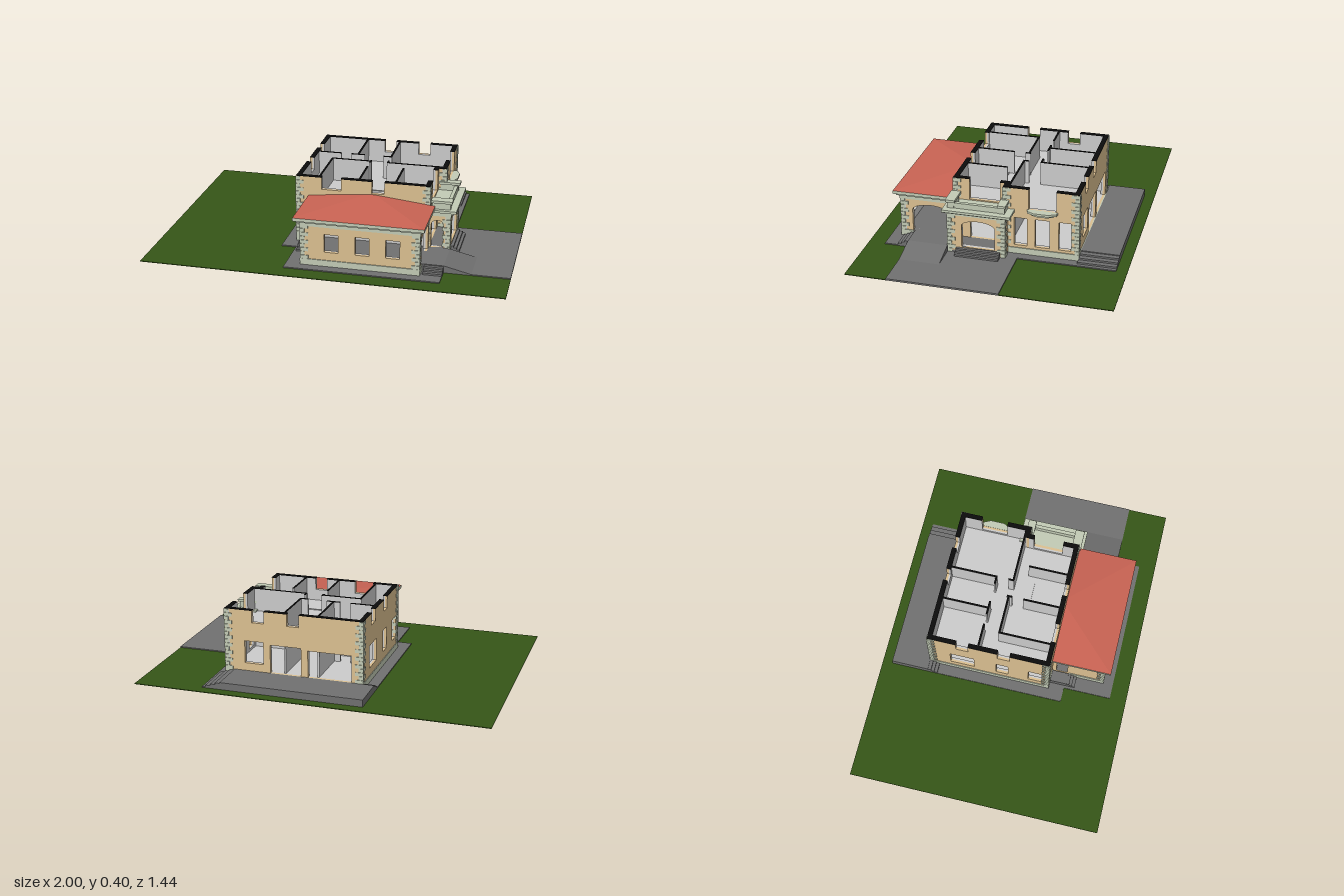
import * as THREE from 'three';

const mat = (color) => new THREE.MeshStandardMaterial({ color, side: THREE.DoubleSide });

export function createModel() {
  const model = new THREE.Group();
  const grass = mat(0x365617), paving = mat(0x707070), tan = mat(0xdcc091), stone = mat(0xc2cbb5);
  const roofRed = mat(0xc96353), black = mat(0x0c0c0c), grey = mat(0xdddddd);

  const add = (name, geo, material, parent = model) => {
    const m = new THREE.Mesh(geo, material);
    m.name = name;
    parent.add(m);
    return m;
  };
  // Box given by its extents
  const box = (name, material, x0, x1, y0, y1, z0, z1) => {
    const m = add(name, new THREE.BoxGeometry(x1 - x0, y1 - y0, z1 - z0), material);
    m.position.set((x0 + x1) / 2, (y0 + y1) / 2, (z0 + z1) / 2);
    return m;
  };
  // Horizontal slab from an x,z outline
  const shapeOf = (pts) => new THREE.Shape(pts.map(([x, z]) => new THREE.Vector2(x, z)));
  const slab = (name, material, shape, y0, y1) => {
    const g = new THREE.ExtrudeGeometry(shape, { depth: y1 - y0, bevelEnabled: false });
    g.rotateX(Math.PI / 2).translate(0, y1, 0);
    return add(name, g, material);
  };

  // Wall facing one side. Openings are [a, b, bottom, top, archRise] in world x or z;
  // an opening reaching the wall top becomes a notch.
  const sides = { front: [0, 1], right: [Math.PI / 2, -1], back: [Math.PI, -1], left: [-Math.PI / 2, 1] };
  const wall = (name, side, off, a, b, y0, y1, openings = [], blackTop = true) => {
    const [turn, sign] = sides[side];
    const span = (p, q) => [Math.min(p * sign, q * sign), Math.max(p * sign, q * sign)];
    const [u0, u1] = span(a, b);
    const list = openings.map(([p, q, lo, hi, rise = 0]) => [...span(p, q), lo, hi, rise]);
    const notches = list.filter((o) => o[3] >= y1).sort((p, q) => p[0] - q[0]);
    const pts = [[u1, y0], [u0, y0], [u0, y1]];
    notches.forEach(([p, q, lo]) => pts.push([p, y1], [p, lo], [q, lo], [q, y1]));
    pts.push([u1, y1]);
    const shape = shapeOf(pts);
    list.filter((o) => o[3] < y1).forEach(([p, q, lo, hi, rise]) => {
      const h = new THREE.Path();
      h.moveTo(p, lo).lineTo(q, lo).lineTo(q, hi - rise);
      if (rise) h.absellipse((p + q) / 2, hi - rise, (q - p) / 2, rise, 0, Math.PI, false);
      else h.lineTo(p, hi);
      h.closePath();
      shape.holes.push(h);
    });
    const g = new THREE.Group();
    g.name = name;
    g.rotation.y = turn;
    const out = off * (side === 'front' || side === 'right' ? 1 : -1);
    const layer = (part, material, depth, z) => {
      const geo = new THREE.ExtrudeGeometry(shape, { depth, bevelEnabled: false, curveSegments: 12 });
      add(part, geo.translate(0, 0, z), material, g);
    };
    layer('outerFace', tan, 0.014, out - 0.014);
    layer('innerLining', grey, 0.012, out - 0.026);
    if (blackTop) {
      const ends = [u0, ...notches.flatMap((n) => [n[0], n[1]]), u1];
      for (let i = 0; i < ends.length; i += 2) {
        const cap = new THREE.BoxGeometry(ends[i + 1] - ends[i], 0.003, 0.027);
        add('cutTop', cap.translate((ends[i] + ends[i + 1]) / 2, y1, out - 0.013), black, g);
      }
    }
    model.add(g);
  };

  // Alternating corner stones; sx, sz point outwards
  const quoins = (x, z, sx, sz, y0, y1) => {
    const n = Math.round((y1 - y0) / 0.022), h = (y1 - y0) / n, e = 0.004;
    for (let i = 0; i < n; i++) {
      const w = i % 2 ? 0.026 : 0.046, d = i % 2 ? 0.046 : 0.026;
      const xa = x + sx * e, xb = xa - sx * w, za = z + sz * e, zb = za - sz * d;
      box('cornerStone', stone, Math.min(xa, xb), Math.max(xa, xb), y0 + i * h, y0 + (i + 0.9) * h,
        Math.min(za, zb), Math.max(za, zb));
    }
  };

  // Steps going down towards one direction
  const steps = (x0, x1, z0, z1, dir, n = 3) => {
    for (let k = 0; k < n; k++) {
      const t = k / n, dx = (x1 - x0) * t, dz = (z1 - z0) * t;
      box('step', paving, x0, dir === 'x' ? x1 - dx : x1, 0.01 + k * 0.01, 0.02 + k * 0.01,
        z0, dir === 'z' ? z1 - dz : z1);
    }
  };

  // Lawn and paving
  slab('lawn', grass, shapeOf([[-1, -0.72], [1, -0.72], [1, -0.12], [0.62, -0.12], [0.62, -0.66], [-0.3, -0.66],
    [-0.3, 0.35], [-0.215, 0.35], [-0.215, 0.625], [0.64, 0.625], [0.64, 0.49], [1, 0.49], [1, 0.72], [-1, 0.72]]), 0, 0.004);
  const paved = shapeOf([[-0.3, -0.66], [0.62, -0.66], [0.62, -0.12], [1, -0.12], [1, 0.49], [0.64, 0.49],
    [0.64, 0.625], [-0.215, 0.625], [-0.215, 0.35], [-0.3, 0.35]]);
  paved.holes.push(new THREE.Path(shapeOf([[-0.235, -0.445], [0.565, -0.445], [0.565, -0.03], [0.52, -0.03],
    [0.52, 0.26], [-0.235, 0.26]]).getPoints()));
  slab('paving', paving, paved, 0, 0.01);

  // Terrace, landings, stairs and ramp
  box('rearTerrace', paving, -0.3, 0.515, 0.01, 0.045, -0.66, -0.446);
  steps(0.515, 0.6, -0.66, -0.446, 'x');
  steps(-0.3, -0.24, -0.446, -0.39, 'z');
  box('porchFloor', paving, -0.128, 0.52, 0.01, 0.045, 0.262, 0.56);
  box('porchLanding', paving, 0.52, 0.64, 0.01, 0.045, 0.262, 0.49);
  steps(0.535, 0.64, 0.49, 0.55, 'z');
  box('leftLanding', paving, -0.2, -0.135, 0.01, 0.045, 0.265, 0.36);
  steps(-0.2, -0.135, 0.36, 0.41, 'z');
  box('entryFloor', paving, 0.52, 0.635, 0.01, 0.045, -0.05, 0.262);
  steps(0.635, 0.685, -0.03, 0.215, 'x');
  const ramp = new THREE.ExtrudeGeometry(shapeOf([[0.64, 0.01], [0.79, 0.01], [0.64, 0.045]]), { depth: 0.225, bevelEnabled: false });
  add('ramp', ramp.translate(0, 0, 0.265), paving);

  // Main house walls
  const T = 0.4;
  wall('frontWall', 'front', 0.26, -0.235, 0.52, 0.005, T, [[-0.09, 0.02, 0.33, T], [0.195, 0.265, 0.33, T]]);
  wall('rearWall', 'back', -0.445, -0.235, 0.565, 0.005, T, [[-0.17, 0.08, 0.045, 0.2], [0.12, 0.3, 0.045, 0.21],
    [0.34, 0.45, 0.09, 0.22], [0.13, 0.2, 0.33, T], [0.335, 0.405, 0.33, T]]);
  wall('leftWall', 'left', -0.235, -0.445, 0.26, 0.005, T, [[-0.32, -0.18, 0.09, 0.22], [-0.05, 0.02, 0.09, 0.22],
    [0.14, 0.22, 0.09, 0.22], [-0.28, -0.21, 0.33, T], [-0.04, 0.03, 0.33, T]]);
  wall('rightWall', 'right', 0.565, -0.445, -0.03, 0.005, T, [[-0.16, -0.09, 0.06, 0.225], [-0.285, -0.205, 0.06, 0.225],
    [-0.405, -0.335, 0.06, 0.225], [-0.32, -0.17, 0.28, T]]);
  wall('recessedRightWall', 'right', 0.52, -0.03, 0.26, 0.005, T, [[0.01, 0.17, 0.045, 0.195], [0, 0.17, 0.28, T]]);
  wall('returnWall', 'front', -0.03, 0.495, 0.565, 0.005, T);
  [[-0.235, 0.26, -1, 1], [-0.235, -0.445, -1, -1], [0.565, -0.445, 1, -1], [0.565, -0.03, 1, 1], [0.52, 0.26, 1, 1]]
    .forEach(([x, z, sx, sz]) => quoins(x, z, sx, sz, 0.045, T));

  // Stone plinth strips
  box('plinth', stone, -0.239, -0.233, 0.005, 0.045, -0.449, 0.264);
  box('plinth', stone, 0.563, 0.57, 0.005, 0.045, -0.449, -0.03);
  box('plinth', stone, -0.239, 0.57, 0.005, 0.045, -0.449, -0.443);
  box('plinth', stone, -0.239, -0.13, 0.005, 0.045, 0.258, 0.264);
  box('plinth', stone, -0.135, 0.525, 0.01, 0.045, 0.563, 0.57);
  box('plinth', stone, -0.135, -0.129, 0.01, 0.045, 0.36, 0.57);
  box('plinth', stone, 0.519, 0.525, 0.01, 0.045, 0.5, 0.57);

  // Floors and partitions
  [0.035, 0.255].forEach((y) => {
    box('floor', grey, -0.21, 0.495, y, y + 0.01, -0.42, 0.235);
    box('floor', grey, 0.495, 0.54, y, y + 0.01, -0.42, -0.055);
  });
  [[-0.21, -0.08, -0.155, -0.155], [-0.01, 0.06, -0.155, -0.155], [0.18, 0.22, -0.155, -0.155],
    [0.025, 0.025, -0.42, -0.155], [0.22, 0.22, -0.42, -0.155], [-0.105, 0.11, -0.06, -0.06],
    [-0.105, -0.105, -0.06, 0.235], [0.12, 0.12, 0.03, 0.235], [0.12, 0.12, -0.065, -0.045],
    [0.325, 0.325, 0.015, 0.235], [0.22, 0.54, -0.057, -0.057], [0.22, 0.22, -0.08, -0.057]].forEach(([x0, x1, z0, z1]) => {
    const e = 0.005;
    box('partition', grey, x0 - e, x1 + e, 0.045, 0.398, z0 - e, z1 + e);
    box('partitionTop', black, x0 - e, x1 + e, 0.398, 0.401, z0 - e, z1 + e);
  });
  box('stairEdge', grey, 0.12, 0.325, 0.265, 0.27, 0.053, 0.057);

  // Front porch room
  wall('porchFront', 'front', 0.565, -0.13, 0.52, 0.01, 0.26, [0, 0.17, 0.337].map((x) => [x, x + 0.077, 0.092, 0.195]), false);
  wall('porchRight', 'right', 0.52, 0.262, 0.565, 0.01, 0.26, [[0.29, 0.5, 0.045, 0.21, 0.04]], false);
  wall('porchLeft', 'left', -0.13, 0.262, 0.565, 0.01, 0.26, [[0.285, 0.35, 0.045, 0.187]], false);
  box('porchBackLining', grey, -0.11, 0.5, 0.045, 0.25, 0.26, 0.264);
  quoins(-0.13, 0.565, -1, 1, 0.045, 0.245);
  quoins(0.52, 0.565, 1, 1, 0.045, 0.245);
  box('porchFrieze', stone, -0.136, 0.526, 0.238, 0.26, 0.262, 0.571);
  box('porchCornice', stone, -0.15, 0.538, 0.26, 0.272, 0.262, 0.585);
  box('porchEave', stone, -0.165, 0.55, 0.272, 0.29, 0.262, 0.6);

  // Hipped porch roof
  const roof = new THREE.BufferGeometry();
  const A = [-0.165, 0.29, 0.6], B = [0.55, 0.29, 0.6], C = [0.55, 0.29, 0.262], D = [-0.165, 0.29, 0.262];
  const P = [0.17, 0.325, 0.262], Q = [0.215, 0.325, 0.262];
  roof.setAttribute('position', new THREE.Float32BufferAttribute([A, B, Q, A, Q, P, B, C, Q, D, A, P].flat(), 3));
  roof.computeVertexNormals();
  add('porchRoof', roof, roofRed);

  // Side entry with arches and balcony
  wall('entryRight', 'right', 0.635, -0.055, 0.262, 0.01, 0.25, [[0, 0.185, 0.045, 0.207, 0.035]], false);
  wall('entryFront', 'front', 0.262, 0.522, 0.635, 0.01, 0.25, [[0.53, 0.6, 0.045, 0.207, 0.03]], false);
  wall('entryBack', 'back', -0.055, 0.565, 0.635, 0.01, 0.25, [], false);
  quoins(0.635, 0.262, 1, 1, 0.01, 0.24);
  quoins(0.635, -0.055, 1, -1, 0.01, 0.24);
  box('entryFrieze', stone, 0.521, 0.641, 0.235, 0.25, -0.062, 0.268);
  box('entryCornice', stone, 0.521, 0.655, 0.25, 0.26, -0.08, 0.275);
  box('balconyFloor', stone, 0.521, 0.67, 0.26, 0.274, -0.093, 0.284);
  box('balconyParapet', stone, 0.612, 0.632, 0.274, 0.305, -0.05, 0.25);
  [[-0.055, -0.025], [0.225, 0.262]].forEach(([z0, z1]) => {
    box('balconyPier', stone, 0.535, 0.635, 0.274, 0.31, z0, z1);
    box('balconyCap', stone, 0.527, 0.645, 0.31, 0.324, z0 - 0.008, z1 + 0.008);
  });

  // Bay ledge below the large upper opening
  [[0.27, 0.282, 1], [0.258, 0.27, 0.75]].forEach(([y0, y1, s]) => {
    const outline = [[0, -0.085], [0.022, -0.08], [0.042, -0.04], [0.042, 0.04], [0.022, 0.08], [0, 0.085]];
    slab('bayLedge', stone, shapeOf(outline.map(([x, z]) => [0.563 + x * s, -0.245 + z * s])), y0, y1);
  });

  return model;
}
